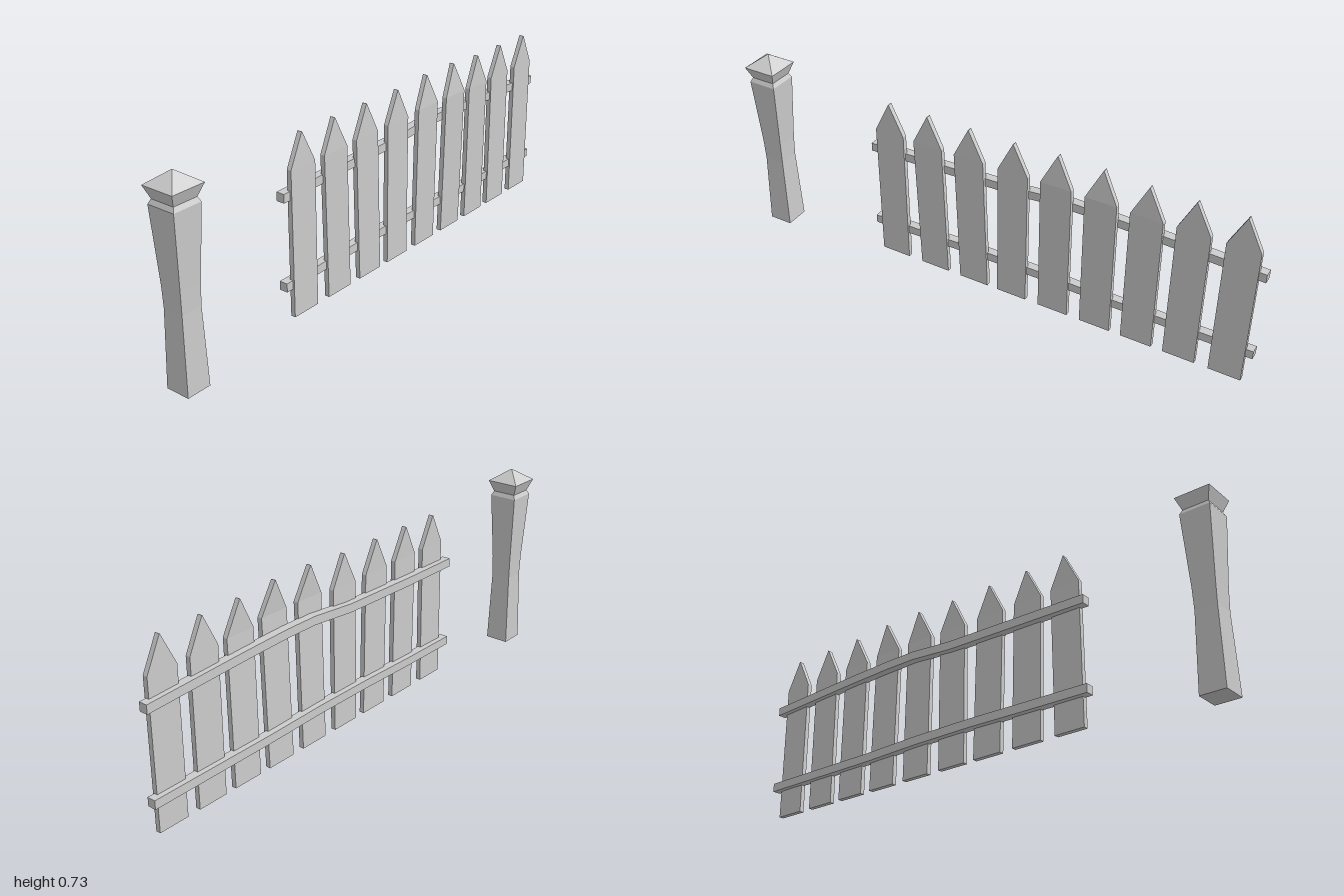
import * as THREE from 'three';

const material = new THREE.MeshStandardMaterial({ color: 0xcccccc, flatShading: true });

function addMesh(parent, name, geometry) {
  const flat = geometry.toNonIndexed();
  flat.computeVertexNormals();
  const mesh = new THREE.Mesh(flat, material);
  mesh.name = name;
  parent.add(mesh);
  return mesh;
}

// Moves every vertex of a geometry by a rule
function reshape(geometry, rule) {
  const p = geometry.attributes.position;
  const v = new THREE.Vector3();
  for (let i = 0; i < p.count; i++) {
    v.fromBufferAttribute(p, i);
    rule(v);
    p.setXYZ(i, v.x, v.y, v.z);
  }
  return geometry;
}

// Square turned solid from [half width, height] pairs
function squareTurned(profile) {
  const pts = profile.map(([w, y]) => new THREE.Vector2(w * Math.SQRT2, y));
  return new THREE.LatheGeometry(pts, 4, Math.PI / 4);
}

// Pointed board: rows at the foot, the shoulder and the tip
function picketGeometry({ foot, shoulder, lean, top }) {
  const rows = [
    { x: foot, y: 0.028, z: 0.001, half: 0.058 },
    { x: shoulder, y: top - 0.115, z: 0.001 + lean, half: 0.058 },
    { x: shoulder, y: top, z: 0.001 + lean * 0.2, half: 0.001 },
  ];
  return reshape(new THREE.BoxGeometry(2, 2, 0.018, 1, 2, 1), (v) => {
    const r = rows[Math.round(v.y) + 1];
    v.set(r.x + v.x * r.half, r.y, r.z + v.z);
  });
}

// Square rail through [x, y, z] stations
function railGeometry(stations) {
  const n = stations.length - 1;
  return reshape(new THREE.BoxGeometry(n, 0.032, 0.032, n, 1, 1), (v) => {
    const [x, y, z] = stations[Math.round(v.x + n / 2)];
    v.set(x, y + v.y, z + v.z);
  });
}

export function createModel() {
  const model = new THREE.Group();
  model.name = 'picketFence';

  // Free-standing post with a waisted shaft and a pyramid cap
  const post = new THREE.Group();
  post.name = 'post';
  post.position.x = -0.937;
  model.add(post);
  addMesh(post, 'postShaft', squareTurned([
    [0, 0], [0.046, 0], [0.039, 0.28], [0.041, 0.36], [0.054, 0.62], [0.046, 0.636], [0, 0.636],
  ]));
  addMesh(post, 'postCap', squareTurned([
    [0, 0.636], [0.046, 0.636], [0.063, 0.68], [0, 0.725],
  ]));

  // Pickets, a few of them leaning
  const panel = new THREE.Group();
  panel.name = 'fencePanel';
  model.add(panel);
  const pickets = [
    // foot x, shoulder x, forward lean, top
    [-0.403, -0.403, 0.002, 0.675],
    [-0.229, -0.243, 0.004, 0.675],
    [-0.061, -0.077, 0.003, 0.675],
    [0.097, 0.097, 0.002, 0.675],
    [0.265, 0.265, 0.01, 0.685],
    [0.431, 0.431, 0.013, 0.685],
    [0.591, 0.591, 0.006, 0.675],
    [0.75, 0.75, 0, 0.675],
    [0.916, 0.916, 0, 0.675],
  ];
  pickets.forEach(([foot, shoulder, lean, top], i) =>
    addMesh(panel, `picket${i + 1}`, picketGeometry({ foot, shoulder, lean, top })));

  // Slightly bowed rails behind the pickets
  addMesh(panel, 'upperRail', railGeometry([
    [-0.49, 0.471, -0.011], [-0.24, 0.474, -0.014], [0.09, 0.481, -0.014],
    [0.27, 0.497, -0.012], [0.4, 0.497, -0.011], [0.58, 0.491, -0.011],
    [0.75, 0.483, -0.011], [1, 0.471, -0.011],
  ]));
  addMesh(panel, 'lowerRail', railGeometry([
    [-0.49, 0.149, -0.011], [-0.24, 0.152, -0.013], [0, 0.157, -0.013],
    [0.25, 0.157, -0.012], [0.5, 0.151, -0.011], [1, 0.149, -0.011],
  ]));

  return model;
}
